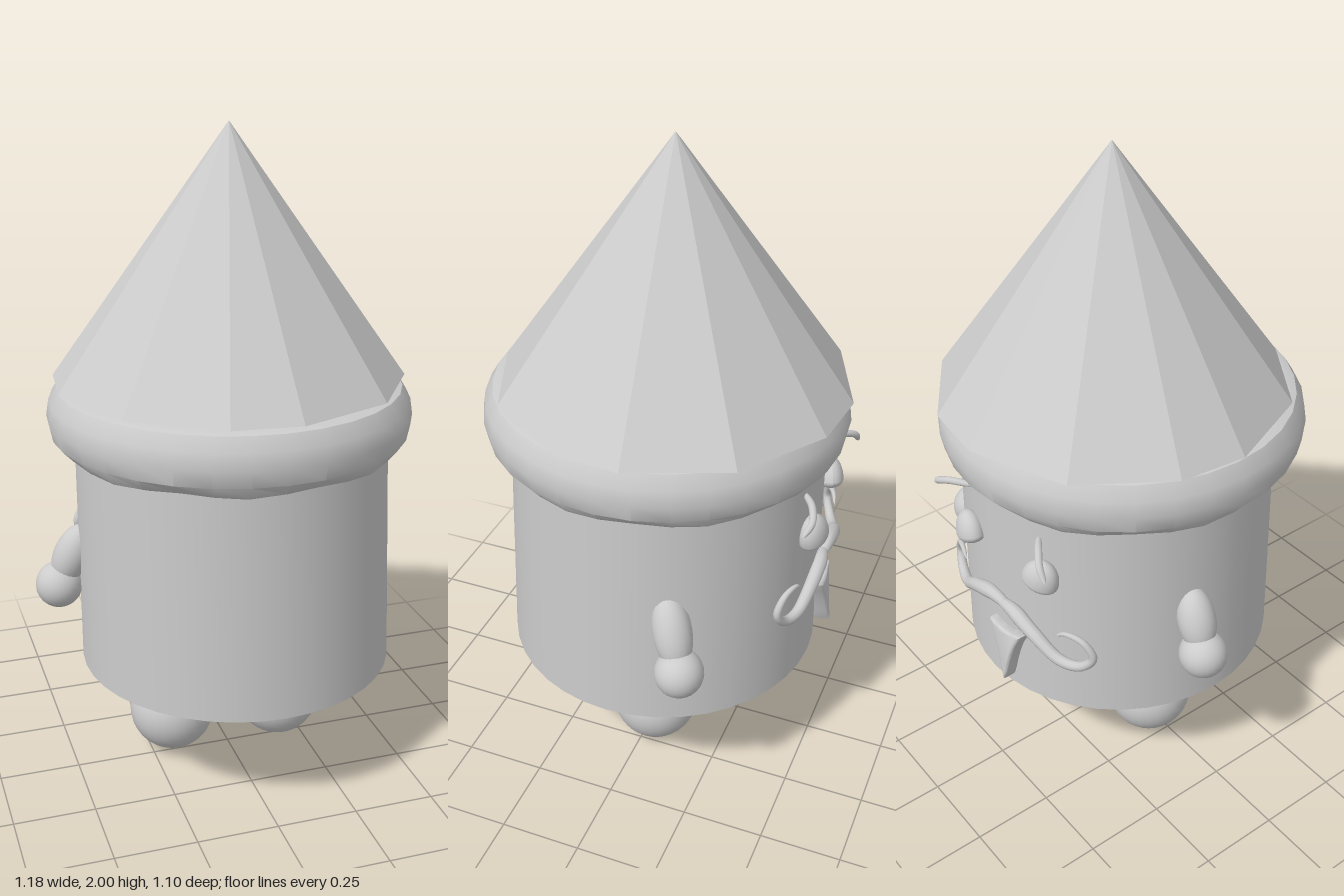
import * as THREE from 'three';
import { toCreasedNormals } from 'three/addons/utils/BufferGeometryUtils.js';

const smooth = new THREE.MeshStandardMaterial({ color: 0xcccccc });
const flat = new THREE.MeshStandardMaterial({ color: 0xcccccc, flatShading: true });
const V = (x, y, z) => new THREE.Vector3(x, y, z);
const FACE = 0.12; // the face looks towards -z, turned slightly to -x

export function createModel() {
  const model = new THREE.Group();

  function add(name, geometry, material = smooth) {
    const mesh = new THREE.Mesh(geometry, material);
    mesh.name = name;
    model.add(mesh);
    return mesh;
  }

  // Point around the body: a is the angle from the back (-z) towards -x
  const around = (a, y, r) => V(-r * Math.sin(a), y, -r * Math.cos(a));

  // Body: closed cylinder that flares and leans a little
  const bodyGeo = new THREE.CylinderGeometry(0.475, 0.487, 0.74, 40);
  const p = bodyGeo.attributes.position;
  for (let i = 0; i < p.count; i++) {
    const low = p.getY(i) < 0;
    p.setX(i, p.getX(i) + (low ? 0.025 : 0.015));
    p.setZ(i, p.getZ(i) + (low ? 0.002 : -0.01));
  }
  add('body', bodyGeo).position.y = 0.73;

  // Brim: rounded roll under the hat, its lower edge gently waved
  const profile = [[0, 1.075], [0.43, 1.075], [0.475, 1.055], [0.51, 1.07], [0.538, 1.105], [0.548, 1.155],
    [0.54, 1.205], [0.515, 1.245], [0.49, 1.253], [0, 1.253]].map(([r, y]) => new THREE.Vector2(r, y));
  const brimGeo = new THREE.LatheGeometry(profile, 32);
  const b = brimGeo.attributes.position;
  for (let i = 0; i < b.count; i++) {
    if (b.getY(i) < 1.072) {
      const a = Math.atan2(b.getX(i), b.getZ(i));
      b.setY(i, b.getY(i) + 0.006 * Math.sin(a * 8));
    }
  }
  add('brim', toCreasedNormals(brimGeo, 0.5)).position.set(0.005, 0, 0.002);

  // Hat: twelve-sided cone with uneven side widths
  const hatGeo = new THREE.ConeGeometry(0.53, 0.745, 12);
  const h = hatGeo.attributes.position;
  const hatAngles = [];
  for (let k = 0; k < 4; k++) {
    hatAngles.push(...[-5, 17.3, 50.6].map((d) => THREE.MathUtils.degToRad(180 - d - 90 * k)));
  }
  hatAngles.sort((m, n) => m - n);
  for (let i = 0; i < h.count; i++) {
    const r = Math.hypot(h.getX(i), h.getZ(i));
    if (r < 0.1) continue;
    const k = Math.round(Math.atan2(h.getX(i), h.getZ(i)) / (Math.PI / 6));
    const a = hatAngles[(k + 12) % 12];
    h.setX(i, r * Math.sin(a));
    h.setZ(i, r * Math.cos(a));
  }
  add('hat', hatGeo, flat).position.set(0.012, 1.6275, -0.025);

  // Legs and round feet
  for (const [side, x, z, r, y] of [['left', 0.18, -0.005, 0.103, 0.138], ['right', -0.178, -0.03, 0.113, 0.148]]) {
    add(side + 'Leg', new THREE.CylinderGeometry(r, r, 0.24, 24)).position.set(x, 0.27, z);
    add(side + 'Foot', new THREE.SphereGeometry(0.136, 28, 20)).position.set(x * 1.01, y, -0.027);
  }

  // Arms: tapered blobs ending in ball hands
  for (const [side, hand, top] of [
    ['left', V(0.513, 0.59, -0.235), V(0.435, 0.8, -0.165)],
    ['right', V(-0.518, 0.602, -0.1), V(-0.435, 0.79, -0.085)],
  ]) {
    add(side + 'Hand', new THREE.SphereGeometry(0.073, 24, 18)).position.copy(hand);
    const dir = top.clone().sub(hand);
    const armGeo = new THREE.SphereGeometry(1, 20, 16);
    armGeo.scale(0.058, dir.length() / 2, 0.058);
    const arm = add(side + 'Arm', armGeo);
    arm.position.copy(hand).lerp(top, 0.53);
    arm.quaternion.setFromUnitVectors(V(0, 1, 0), dir.normalize());
  }

  // Tube whose thickness varies along its length, with pointed ends
  function taperedTube(points, radiusAt) {
    const curve = new THREE.CatmullRomCurve3(points);
    const rows = 48, sides = 10;
    const geo = new THREE.TubeGeometry(curve, rows, 1, sides);
    const pos = geo.attributes.position;
    const v = V();
    for (let i = 0; i < pos.count; i++) {
      const t = Math.floor(i / (sides + 1)) / rows;
      const c = curve.getPointAt(t);
      v.fromBufferAttribute(pos, i).sub(c).multiplyScalar(radiusAt(t)).add(c);
      pos.setXYZ(i, v.x, v.y, v.z);
    }
    return geo;
  }

  // Eyes: domes with a flattened underside, tilted outwards
  for (const s of [-1, 1]) {
    const eyeGeo = new THREE.SphereGeometry(1, 24, 18);
    const e = eyeGeo.attributes.position;
    for (let i = 0; i < e.count; i++) if (e.getY(i) < 0) e.setY(i, e.getY(i) * 0.4);
    eyeGeo.scale(0.058, 0.072, 0.042);
    eyeGeo.computeVertexNormals();
    const eye = add(s > 0 ? 'rightEye' : 'leftEye', eyeGeo);
    const a = FACE + s * 0.31;
    eye.position.copy(around(a, 0.865, 0.505));
    eye.rotation.set(0, a + Math.PI, -s * 0.3, 'YXZ');
  }

  // Eyebrows: thin arcs lifting away from the body
  const brows = {
    leftEyebrow: [V(0.11, 1.015, -0.465), V(0.17, 1.015, -0.505), V(0.22, 0.995, -0.52), V(0.255, 0.965, -0.505)],
    rightEyebrow: [V(-0.2, 1.01, -0.45), V(-0.25, 1.01, -0.485), V(-0.29, 0.99, -0.51), V(-0.32, 0.955, -0.515)],
  };
  for (const name in brows) {
    add(name, taperedTube(brows[name], (t) => 0.011 * Math.sqrt(Math.max(0, 1 - (2 * t - 1) ** 4))));
  }

  // Moustache: two mirrored halves, each dipping and curling up at the tip
  const curl = [[-2, 0.69], [6, 0.7], [16, 0.67], [26, 0.62], [33, 0.625], [37, 0.67], [34, 0.72], [28, 0.73], [25, 0.71]];
  for (const s of [-1, 1]) {
    const points = curl.map(([deg, y]) => {
      const r = 0.495 + (s > 0 ? 0.075 : 0.02) * Math.max(0, deg) / 37;
      return around(FACE + s * THREE.MathUtils.degToRad(deg), y, r);
    });
    add(s > 0 ? 'rightMoustache' : 'leftMoustache',
      taperedTube(points, (t) => 0.027 * Math.min(1, 0.5 + 3 * t) * Math.pow(1 - t, 0.35) * (1 - 0.35 * t)));
  }

  // Goatee: pointed tuft with hollow sides
  const tuft = new THREE.Shape();
  tuft.moveTo(-0.062, 0.085);
  tuft.quadraticCurveTo(-0.025, 0.02, 0.008, -0.095);
  tuft.quadraticCurveTo(0.022, 0.02, 0.062, 0.085);
  tuft.quadraticCurveTo(0, 0.06, -0.062, 0.085);
  const goateeGeo = new THREE.ExtrudeGeometry(tuft, {
    depth: 0.03, bevelEnabled: true, bevelSize: 0.006, bevelThickness: 0.01, bevelSegments: 3, curveSegments: 10,
  });
  const goatee = add('goatee', toCreasedNormals(goateeGeo, 0.7));
  goatee.position.copy(around(FACE + 0.02, 0.51, 0.48));
  goatee.rotation.set(-0.12, FACE + Math.PI, 0, 'YXZ');

  return model;
}
